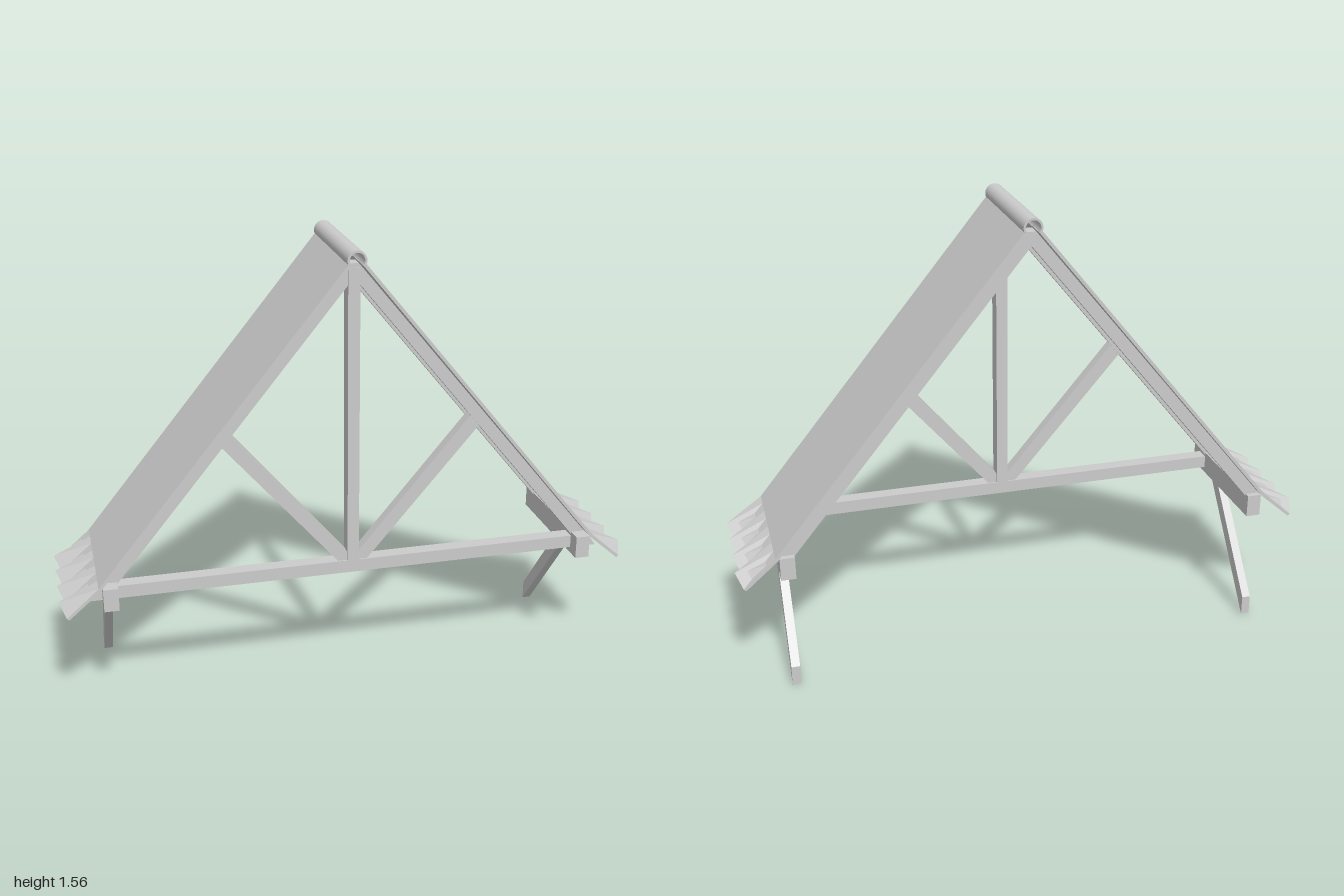
import * as THREE from 'three';

const grey = new THREE.MeshStandardMaterial({ color: 0xcccccc, side: THREE.DoubleSide });
const FRONT = 0.23, BACK = -0.24;

function add(group, geometry, name) {
  const mesh = new THREE.Mesh(geometry, grey);
  mesh.name = name;
  group.add(mesh);
  return mesh;
}

// Flat board: outline in x/y (mirrored by side), running from z0 to z1
function board(points, side, z0, z1) {
  const shape = new THREE.Shape(points.map(([x, y]) => new THREE.Vector2(x * side, y)));
  return new THREE.ExtrudeGeometry(shape, { depth: z1 - z0, bevelEnabled: false }).translate(0, 0, z0);
}

// Timber running along z, left open at its back end; slope lifts it towards the front
function timber(w, h, z0, z1, x, yBack, slope = 0) {
  const g = new THREE.BoxGeometry(w, h, z1 - z0).toNonIndexed();
  g.translate(x, yBack + h / 2, (z0 + z1) / 2);
  g.setDrawRange(0, 30);
  const p = g.attributes.position;
  for (let i = 0; i < p.count; i++) p.setY(i, p.getY(i) + slope * (p.getZ(i) - z0));
  g.computeVertexNormals();
  return g;
}

// Roof sheet: straight slope, then a flared eave whose edge folds into a zigzag
function roofSheet(side) {
  const outer = [[0.028, 1.522], [0.868, 0.492], [0.988, 0.413]];
  const inner = [[0.98, 0.406], [0.861, 0.483], [0.02, 1.515]];
  const profile = [...outer, ...inner];
  const folds = 8, n = profile.length, pos = [], index = [];
  for (let k = 0; k <= folds; k++) {
    const z = FRONT + (BACK - FRONT) * k / folds;
    const a = k % 2 ? 0.02 : -0.02;
    profile.forEach(([x, y], i) => {
      const f = i === 2 || i === 3 ? a : 0;
      pos.push(side * (x + 0.55 * f), y + 0.84 * f, z);
    });
  }
  const quad = (a, b, c, d) => index.push(...(side > 0 ? [a, b, c, a, c, d] : [a, c, b, a, d, c]));
  for (let k = 0; k < folds; k++) {
    for (let i = 0; i < n; i++) {
      const j = (i + 1) % n;
      quad(k * n + i, k * n + j, (k + 1) * n + j, (k + 1) * n + i);
    }
  }
  // Front and back edges of the sheet
  const e = folds * n;
  quad(0, 5, 4, 1);
  quad(1, 4, 3, 2);
  quad(e, e + 1, e + 4, e + 5);
  quad(e + 1, e + 2, e + 3, e + 4);
  let g = new THREE.BufferGeometry();
  g.setAttribute('position', new THREE.Float32BufferAttribute(pos, 3));
  g.setIndex(index);
  g = g.toNonIndexed();
  g.computeVertexNormals();
  return g;
}

export function createModel() {
  const model = new THREE.Group();
  model.name = 'roofCanopy';
  const T0 = 0.14, T1 = 0.19;

  // Front truss: tie beam and king post
  add(model, board([[-0.9, 0.43], [0.9, 0.43], [0.87, 0.475], [-0.87, 0.475]], 1, T0, T1), 'tieBeam');
  add(model, board([[-0.02, 0.47], [0.02, 0.47], [0.02, 1.5], [-0.02, 1.5]], 1, T0 - 0.002, T1 + 0.002), 'kingPost');

  for (const s of [1, -1]) {
    const half = new THREE.Group();
    half.name = s > 0 ? 'leftHalf' : 'rightHalf';
    model.add(half);

    // Rafters at the truss and near the back
    const rafter = [[0, 1.469], [0.811, 0.475], [0.866, 0.475], [0.015, 1.515], [0, 1.515]];
    add(half, board(rafter, s, T0, T1), 'frontRafter');
    add(half, board(rafter, s, -0.22, -0.17), 'backRafter');

    // Diagonal strut of the truss
    const strut = [[0.015, 0.475], [0.052, 0.475], [0.445, 0.935], [0.41, 0.97], [0.015, 0.5]];
    add(half, board(strut, s, T0 + 0.005, T1 - 0.005), 'strut');

    // Wall plate and the brace below it
    add(half, timber(0.05, 0.08, BACK, 0.24, s * 0.83, 0.41), 'wallPlate');
    add(half, timber(0.03, 0.07, BACK, 0.09, s * 0.83, 0, 1.227), 'brace');

    add(half, roofSheet(s), 'roofSheet');
  }

  // Hollow ridge cap, open underneath
  const cap = new THREE.Shape();
  const a0 = -Math.PI * 0.2, a1 = Math.PI * 1.2;
  cap.absarc(0, 1.532, 0.032, a0, a1, false);
  cap.absarc(0, 1.532, 0.025, a1, a0, true);
  const capGeo = new THREE.ExtrudeGeometry(cap, { depth: FRONT - BACK, bevelEnabled: false, curveSegments: 16 });
  add(model, capGeo.translate(0, 0, BACK), 'ridgeCap');

  return model;
}
